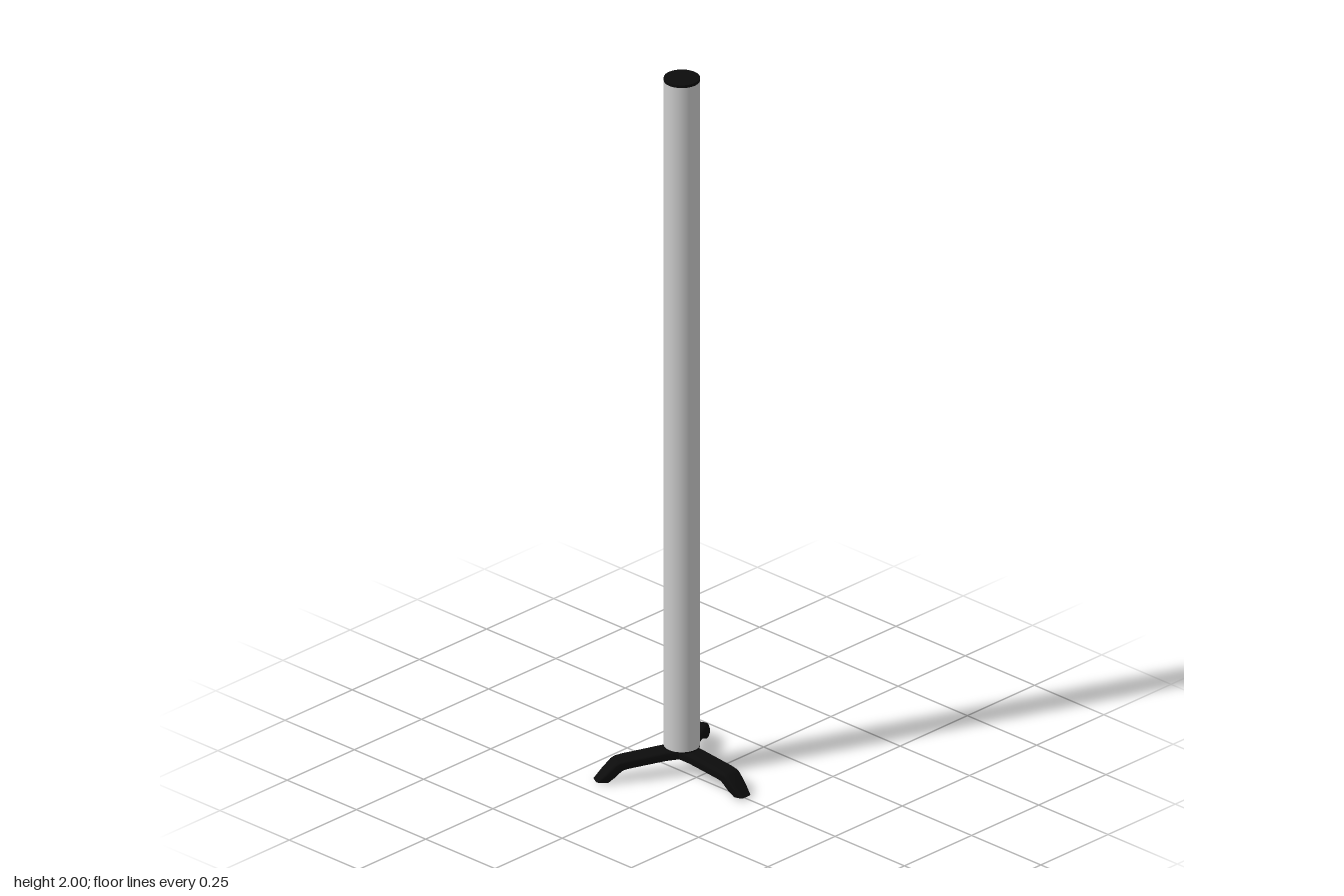
import * as THREE from 'three';

const AXIS_X = -0.053, RADIUS = 0.047, BASE_Y = 0.073;

// Stations along a leg: [top radius, top y, bottom radius, bottom y, half width]
const STATIONS = [
  [-0.01, 0.075, -0.01, 0.045, 0.028],
  [0.05, 0.073, 0.05, 0.045, 0.028],
  [0.11, 0.067, 0.108, 0.040, 0.028],
  [0.155, 0.063, 0.15, 0.036, 0.028],
  [0.176, 0.060, 0.163, 0.033, 0.027],
  [0.187, 0.054, 0.170, 0.028, 0.0265],
  [0.213, 0.028, 0.186, 0.013, 0.024],
  [0.235, 0.006, 0.200, 0.000, 0.018],
];

// Bent leg lofted through rounded-rectangle sections, pointing along +x
function legGeometry() {
  const sides = 24, pos = [], index = [];
  const soft = (v) => Math.sign(v) * Math.pow(Math.abs(v), 0.45);
  for (const [tr, ty, br, by, w] of STATIONS) {
    for (let j = 0; j < sides; j++) {
      const a = (j / sides) * Math.PI * 2;
      const t = (soft(Math.sin(a)) + 1) / 2;
      pos.push(br + (tr - br) * t, by + (ty - by) * t, w * soft(Math.cos(a)));
    }
  }
  const last = STATIONS.length - 1;
  for (let i = 0; i < last; i++) {
    for (let j = 0; j < sides; j++) {
      const a = i * sides + j, b = i * sides + ((j + 1) % sides);
      index.push(a, a + sides, b, b, a + sides, b + sides);
    }
  }
  // End caps with their own vertices so the rims stay sharp
  for (const i of [0, last]) {
    const start = pos.length / 3;
    pos.push(...pos.slice(i * sides * 3, (i + 1) * sides * 3));
    for (let j = 1; j < sides - 1; j++) {
      if (i === 0) index.push(start, start + j, start + j + 1);
      else index.push(start, start + j + 1, start + j);
    }
  }
  const g = new THREE.BufferGeometry();
  g.setAttribute('position', new THREE.Float32BufferAttribute(pos, 3));
  g.setIndex(index);
  g.computeVertexNormals();
  return g;
}

export function createModel() {
  const model = new THREE.Group();
  model.name = 'pole on tripod base';
  const grey = new THREE.MeshStandardMaterial({ color: 0xcccccc });
  const black = new THREE.MeshStandardMaterial({ color: 0x0c0c0c, side: THREE.DoubleSide });

  const cylinder = (name, y0, y1, material) => {
    const m = new THREE.Mesh(new THREE.CylinderGeometry(RADIUS, RADIUS, y1 - y0, 48), material);
    m.name = name;
    m.position.set(AXIS_X, (y0 + y1) / 2, 0);
    model.add(m);
  };

  // Column with dark end caps
  cylinder('column', BASE_Y + 0.004, 1.992, grey);
  cylinder('topCap', 1.992, 2, black);
  cylinder('bottomCap', BASE_Y, BASE_Y + 0.004, black);

  // Three bent legs around the column axis
  const legs = new THREE.Group();
  legs.name = 'legs';
  legs.position.x = AXIS_X;
  const geometry = legGeometry();
  for (let i = 0; i < 3; i++) {
    const leg = new THREE.Mesh(geometry, black);
    leg.name = 'leg' + (i + 1);
    leg.rotation.y = (i * Math.PI * 2) / 3;
    legs.add(leg);
  }
  model.add(legs);
  return model;
}
